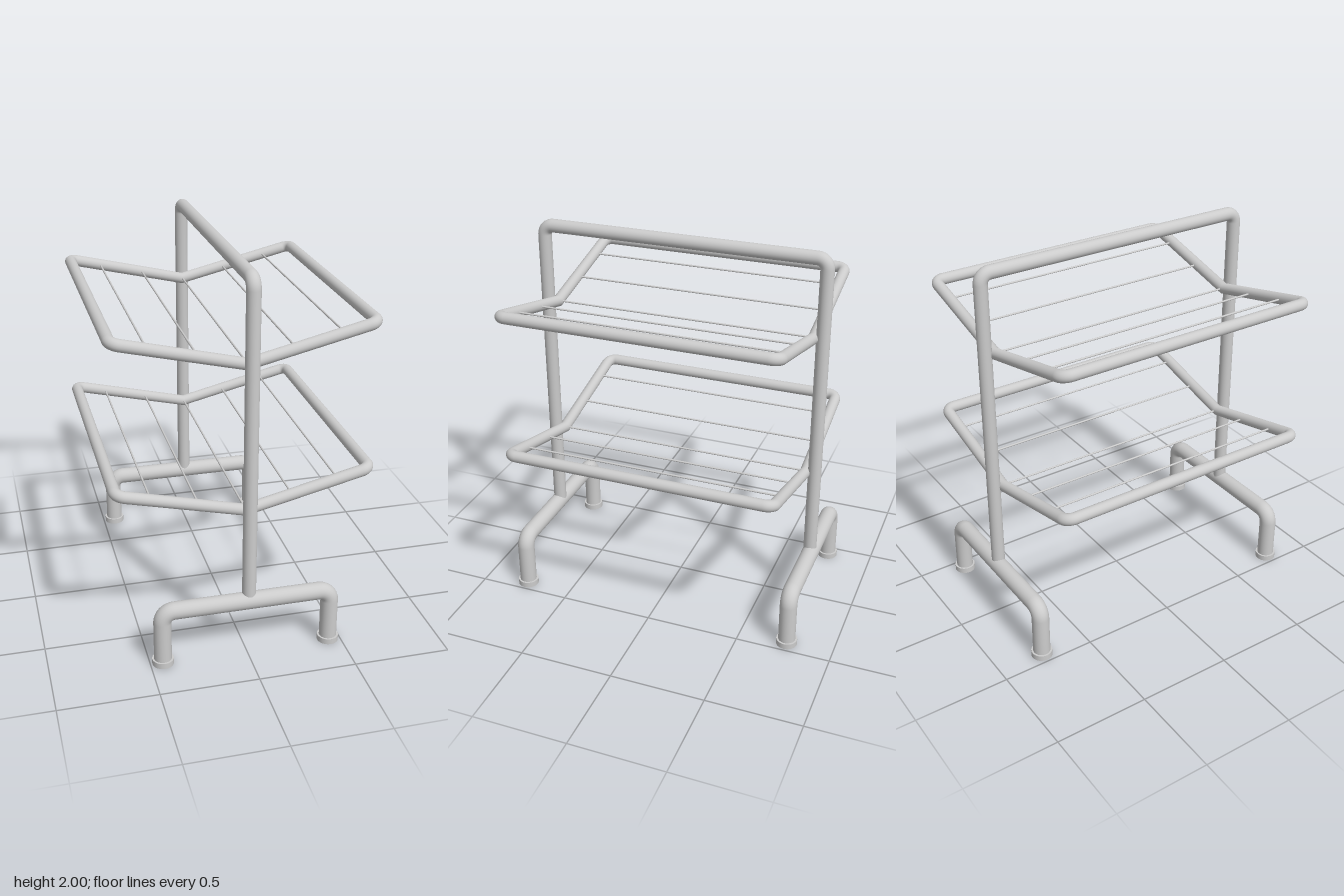
import * as THREE from 'three';

const material = new THREE.MeshStandardMaterial({ color: 0xcccccc });
const V = (x, y, z) => new THREE.Vector3(x, y, z);

// Curve that visits each listed point exactly, so straights stay one segment long
class PointPath extends THREE.Curve {
  constructor(points) {
    super();
    this.points = points;
  }
  getPointAt(u, target = new THREE.Vector3()) {
    return target.copy(this.points[Math.round(u * (this.points.length - 1))]);
  }
  getTangentAt(u, target = new THREE.Vector3()) {
    const p = this.points, last = p.length - 1, i = Math.round(u * last);
    target.set(0, 0, 0);
    if (i > 0) target.add(p[i].clone().sub(p[i - 1]).normalize());
    if (i < last) target.add(p[i + 1].clone().sub(p[i]).normalize());
    return target.normalize();
  }
}

// Bent pipe through the corners; sharp corners are listed by index
function pipe(name, corners, radius, bend, sharp = []) {
  const points = [corners[0]];
  for (let i = 1; i < corners.length - 1; i++) {
    const c = corners[i];
    if (sharp.includes(i)) {
      points.push(c);
      continue;
    }
    const a = corners[i - 1].clone().sub(c).setLength(bend);
    const b = corners[i + 1].clone().sub(c).setLength(bend);
    const steps = 8;
    for (let k = 0; k <= steps; k++) {
      const t = (k / steps) * Math.PI / 2;
      points.push(c.clone().addScaledVector(a, 1 - Math.sin(t)).addScaledVector(b, 1 - Math.cos(t)));
    }
  }
  points.push(corners[corners.length - 1]);
  const geometry = new THREE.TubeGeometry(new PointPath(points), points.length - 1, radius, 24);
  const mesh = new THREE.Mesh(geometry, material);
  mesh.name = name;
  return mesh;
}

function cylinder(name, radius, height, x, y, z) {
  const mesh = new THREE.Mesh(new THREE.CylinderGeometry(radius, radius, height, 24), material);
  mesh.name = name;
  mesh.position.set(x, y, z);
  return mesh;
}

// V-shaped rack: a closed pipe frame with thin drying rods
function createRack(name, low, rise) {
  const rack = new THREE.Group();
  rack.name = name;
  const w = 0.635, d = 0.70, high = low + rise;
  rack.add(pipe('rackFrame', [
    V(w, high, 0), V(w, high, d), V(0, low, d), V(-w, high, d),
    V(-w, high, -d), V(0, low, -d), V(w, high, -d), V(w, high, 0),
  ], 0.03, 0.045, [2, 5]));
  for (let i = -2; i <= 2; i++) {
    const x = i * 0.234;
    const rod = cylinder('dryingRod', 0.005, 2 * d, x, low + rise * Math.abs(x) / w + 0.003, 0);
    rod.rotation.x = Math.PI / 2;
    rack.add(rod);
  }
  return rack;
}

// Base: a bent bar with two legs on round pads
function createBase(name, z) {
  const base = new THREE.Group();
  base.name = name;
  const w = 0.435, y = 0.30;
  base.add(pipe('baseBar', [V(-w, 0.01, z), V(-w, y, z), V(w, y, z), V(w, 0.01, z)], 0.045, 0.06));
  for (const side of [-1, 1]) base.add(cylinder('footPad', 0.055, 0.03, side * w, 0.015, z));
  return base;
}

export function createModel() {
  const model = new THREE.Group();
  model.name = 'dryingRack';

  // Tall hoop: two posts joined by the top rail
  const x = 0.01, top = 1.965, z = 0.75;
  model.add(pipe('hoop', [V(x, 0.3, z), V(x, top, z), V(x, top, -z), V(x, 0.3, -z)], 0.035, 0.05));

  model.add(createRack('upperRack', 1.547, 0.152));
  model.add(createRack('lowerRack', 0.787, 0.152));
  model.add(createBase('frontBase', 0.755));
  model.add(createBase('backBase', -0.755));
  return model;
}
